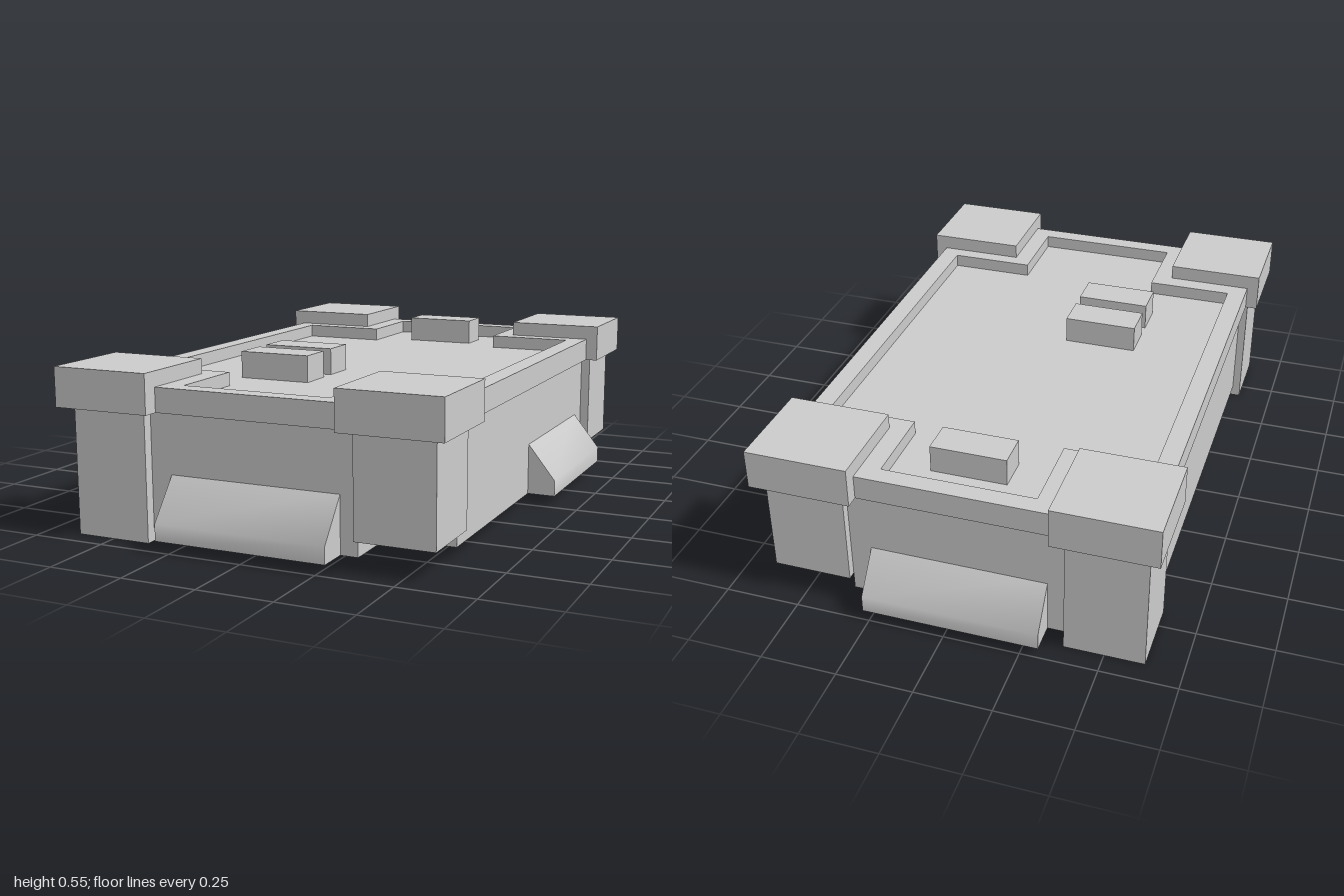
import * as THREE from 'three';
import { toCreasedNormals } from 'three/addons/utils/BufferGeometryUtils.js';

const CX = -0.017; // plan centre line

export function createModel() {
  const model = new THREE.Group();
  model.name = 'cornerPostTray';
  const material = new THREE.MeshStandardMaterial({ color: 0xcccccc });

  const add = (name, geometry) => {
    const mesh = new THREE.Mesh(geometry, material);
    mesh.name = name;
    model.add(mesh);
    return mesh;
  };

  // Box given by its extents
  const box = (name, x0, x1, y0, y1, z0, z1) =>
    add(name, new THREE.BoxGeometry(x1 - x0, y1 - y0, z1 - z0)
      .translate((x0 + x1) / 2, (y0 + y1) / 2, (z0 + z1) / 2));

  // Cross-shaped plan: a long narrow arm over a shorter wide middle (half sizes)
  const cross = (ax, az, bx, bz) => [
    [ax, az], [-ax, az], [-ax, bz], [-bx, bz], [-bx, -bz], [-ax, -bz],
    [-ax, -az], [ax, -az], [ax, -bz], [bx, -bz], [bx, bz], [ax, bz],
  ].map(([x, z]) => new THREE.Vector2(x + CX, z + 0.003));

  // Plan extruded upwards, with an optional opening
  const slab = (name, outer, inner, y0, y1) => {
    const shape = new THREE.Shape(outer);
    if (inner) shape.holes.push(new THREE.Path(inner));
    const geometry = new THREE.ExtrudeGeometry(shape, { depth: y1 - y0, bevelEnabled: false });
    return add(name, geometry.rotateX(-Math.PI / 2).translate(0, y0, 0));
  };

  // Raised rim around a recessed floor
  const recess = cross(0.25, 0.863, 0.545, 0.588);
  slab('rim', cross(0.317, 0.925, 0.61, 0.655), recess, 0.42, 0.5);
  slab('floor', recess, null, 0.42, 0.455);

  // Thin skirt walls, open underneath
  slab('skirt', cross(0.357, 0.898, 0.585, 0.683), cross(0.352, 0.893, 0.58, 0.678), 0.035, 0.42);

  // Corner posts and their caps; the posts on the right side are shorter
  for (const sz of [1, -1]) {
    const z = (a, b) => (sz > 0 ? [a, b] : [-b, -a]);
    box('leftPost', 0.34, 0.6, 0.093, 0.42, ...z(0.68, 0.93));
    box('rightPost', -0.63, -0.37, 0, 0.42, ...z(0.68, 0.93));
    box('leftCap', 0.297, 0.635, 0.42, 0.55, ...(sz > 0 ? [0.637, 0.963] : [-0.973, -0.647]));
    box('rightCap', -0.668, -0.333, 0.42, 0.55, ...z(0.647, 0.975));
  }

  // Blocks standing on the floor
  box('backBlock', -0.14, 0.11, 0.45, 0.545, -0.77, -0.655);
  box('middleBlock', -0.31, -0.06, 0.45, 0.545, 0.135, 0.255);
  box('frontBlock', -0.31, -0.06, 0.45, 0.545, 0.31, 0.43);

  // Sloped ledge: profile (outward, up) extruded along its length, then turned to its side
  const ledge = (name, length, turn, x, z) => {
    const profile = new THREE.Shape(
      [[0, 0.035], [0.107, 0.035], [0.107, 0.09], [0, 0.225]].map(p => new THREE.Vector2(...p)));
    const geometry = new THREE.ExtrudeGeometry(profile, { depth: length, bevelEnabled: false })
      .translate(0, 0, -length / 2);
    const mesh = add(name, toCreasedNormals(geometry, Math.PI / 3.5));
    mesh.rotation.y = turn;
    mesh.position.set(x, 0, z);
  };
  ledge('frontLedge', 0.58, -Math.PI / 2, -0.008, 0.892);
  ledge('backLedge', 0.58, Math.PI / 2, -0.02, -0.892);
  ledge('sideLedge', 0.58, 0, 0.557, -0.31);

  return model;
}
